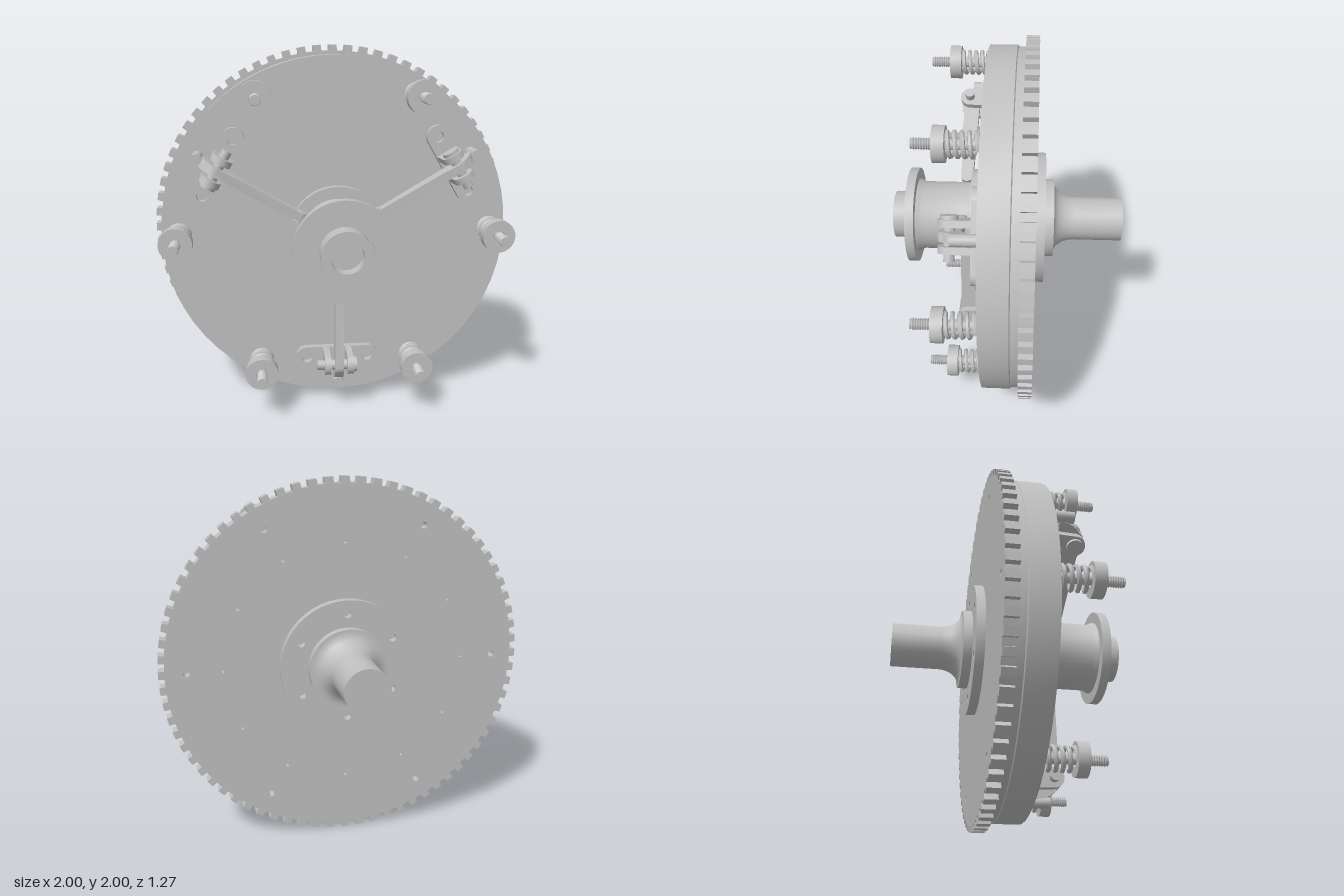
import * as THREE from 'three';
import { toCreasedNormals } from 'three/addons/utils/BufferGeometryUtils.js';

const steel = new THREE.MeshStandardMaterial({ color: 0xbfbfbf });
steel.name = 'steel grey';

function add(parent, name, geometry) {
  const mesh = new THREE.Mesh(toCreasedNormals(geometry, 0.6), steel);
  mesh.name = name;
  parent.add(mesh);
  return mesh;
}

// Turned part along z; profile is [radius, z] from back to front
function turned(profile, segments = 48) {
  const pts = profile.map(([r, z]) => new THREE.Vector2(r, z));
  return new THREE.LatheGeometry(pts, segments).rotateX(Math.PI / 2);
}

const disc = (r, z0, z1, segments = 24) =>
  turned([[0, z0], [r, z0], [r, z1], [0, z1]], segments);

const slab = (shape, z, depth, curveSegments = 8) =>
  new THREE.ExtrudeGeometry(shape, { depth, bevelEnabled: false, curveSegments }).translate(0, 0, z);

// Ring of round holes cut in a shape
function punch(shape, count, ringRadius, r, offset = 0) {
  for (let i = 0; i < count; i++) {
    const a = offset + (i / count) * Math.PI * 2;
    const hole = new THREE.Path();
    hole.absarc(Math.cos(a) * ringRadius, Math.sin(a) * ringRadius, r, 0, Math.PI * 2, true);
    shape.holes.push(hole);
  }
}

// Shape drawn as (radial, z), extruded sideways about x = centre
const sideBasis = new THREE.Matrix4().makeBasis(
  new THREE.Vector3(0, 1, 0), new THREE.Vector3(0, 0, 1), new THREE.Vector3(1, 0, 0));
const sidePlate = (shape, x, width) => slab(shape, -width / 2, width).applyMatrix4(sideBasis).translate(x, 0, 0);

function ringGear() {
  const teeth = 72, step = (Math.PI * 2) / teeth, pts = [];
  for (let i = 0; i < teeth; i++) {
    for (const [r, f] of [[0.968, -0.27], [1, -0.24], [1, 0.24], [0.968, 0.27]]) {
      const a = (i + f) * step;
      pts.push(new THREE.Vector2(Math.cos(a) * r, Math.sin(a) * r));
    }
  }
  const shape = new THREE.Shape(pts);
  punch(shape, 6, 0.855, 0.018);
  punch(shape, 12, 0.665, 0.008);
  return slab(shape, -0.155, 0.07);
}

class Helix extends THREE.Curve {
  getPoint(t, target = new THREE.Vector3()) {
    const a = t * Math.PI * 2 * 4.5;
    return target.set(Math.cos(a) * 0.057, Math.sin(a) * 0.057, 0.115 + t * 0.155);
  }
}

// Threaded stud, coil spring and retaining cap
function springStud() {
  const g = new THREE.Group();
  const thread = [[0, 0.1], [0.026, 0.1], [0.026, 0.33]];
  for (let z = 0.335; z < 0.425; z += 0.012) thread.push([0.029, z], [0.023, z + 0.006]);
  thread.push([0.026, 0.433], [0, 0.433]);
  add(g, 'stud', turned(thread, 14));
  add(g, 'spring', new THREE.TubeGeometry(new Helix(), 90, 0.012, 6));
  add(g, 'springCap', turned([[0.035, 0.27], [0.088, 0.27], [0.088, 0.33], [0.033, 0.33], [0.033, 0.31], [0.02, 0.31]], 28));
  return g;
}

// Release lever with its bracket; local y points outwards from the axle
function releaseLever() {
  const g = new THREE.Group(), R = 0.735;

  // Mounting plate with rounded ends and two bolt holes
  const plate = new THREE.Shape();
  plate.absarc(0.172, R, 0.062, -Math.PI / 2, Math.PI / 2);
  plate.absarc(-0.172, R, 0.062, Math.PI / 2, Math.PI * 1.5);
  for (const x of [-0.172, 0.172]) {
    const hole = new THREE.Path();
    hole.absarc(x, R, 0.03, 0, Math.PI * 2, true);
    plate.holes.push(hole);
  }
  add(g, 'bracketPlate', slab(plate, 0.1, 0.045, 12));

  // Twin lugs holding the pivot
  const lug = new THREE.Shape();
  lug.moveTo(R - 0.06, 0.14);
  lug.lineTo(R + 0.06, 0.14);
  lug.absarc(R, 0.25, 0.055, 0, Math.PI);
  for (const x of [-0.063, 0.063]) add(g, 'bracketLug', sidePlate(lug, x, 0.035));
  const pin = new THREE.CylinderGeometry(0.027, 0.027, 0.22, 16).rotateZ(Math.PI / 2).translate(0.012, R, 0.25);
  add(g, 'pivotPin', pin);
  const head = new THREE.CylinderGeometry(0.043, 0.043, 0.018, 18).rotateZ(Math.PI / 2).translate(-0.09, R, 0.25);
  add(g, 'pivotHead', head);

  // Tapered arm from the release sleeve to the pivot
  const arm = new THREE.Shape();
  arm.moveTo(0.235, 0.212);
  arm.lineTo(0.64, 0.198);
  arm.lineTo(R, 0.195);
  arm.absarc(R, 0.25, 0.055, -Math.PI / 2, Math.PI / 2);
  arm.lineTo(0.64, 0.287);
  arm.lineTo(0.235, 0.278);
  arm.absarc(0.235, 0.245, 0.033, Math.PI / 2, Math.PI * 1.5);
  add(g, 'leverArm', sidePlate(arm, 0, 0.046));
  const tip = new THREE.CylinderGeometry(0.033, 0.033, 0.06, 16).rotateZ(Math.PI / 2).translate(0, 0.235, 0.245);
  add(g, 'leverTip', tip);

  // Hooked tail reaching the pressure bolt
  const tail = new THREE.Shape();
  tail.moveTo(R, 0.29);
  tail.quadraticCurveTo(0.81, 0.285, 0.835, 0.2);
  tail.lineTo(0.835, 0.165);
  tail.lineTo(0.795, 0.165);
  tail.lineTo(R, 0.2);
  add(g, 'leverTail', sidePlate(tail, 0, 0.05));
  add(g, 'pressureBolt', disc(0.03, 0.1, 0.237, 18).translate(0, 0.853, 0));
  return g;
}

export function createModel() {
  const model = new THREE.Group();
  model.name = 'clutchAssembly';
  const body = new THREE.Group();
  body.name = 'clutch';
  body.position.y = 1;
  model.add(body);

  // Flywheel drum and toothed ring
  add(body, 'drum', turned([[0, -0.086], [0.942, -0.086], [0.942, -0.045], [0.95, -0.04], [0.95, 0.108], [0, 0.108]], 56));
  add(body, 'ringGear', ringGear());

  // Rear bolted flange
  const flange = new THREE.Shape();
  flange.absarc(0, 0, 0.365, 0, Math.PI * 2);
  punch(flange, 6, 0.29, 0.022, Math.PI / 6);
  add(body, 'rearFlange', slab(flange, -0.205, 0.05, 24));

  // Shaft flaring into its collar
  const shaft = [[0, -0.635], [0.12, -0.635], [0.12, -0.37]];
  for (let i = 1; i <= 6; i++) {
    const a = (i / 6) * Math.PI / 2;
    shaft.push([0.12 + 0.085 * (1 - Math.cos(a)), -0.37 + 0.115 * Math.sin(a)]);
  }
  shaft.push([0.218, -0.255], [0.218, -0.2], [0, -0.2]);
  add(body, 'shaft', turned(shaft, 36));

  // Grooved release sleeve with bored nose
  add(body, 'releaseSleeve', turned([
    [0, 0.1], [0.215, 0.1], [0.215, 0.125], [0.165, 0.145], [0.165, 0.157], [0.265, 0.157], [0.265, 0.2], [0.2, 0.2],
    [0.19, 0.22], [0.19, 0.465], [0.2, 0.485], [0.205, 0.5], [0.265, 0.5], [0.265, 0.548], [0.145, 0.548],
    [0.145, 0.535], [0.13, 0.535], [0.13, 0.633], [0.085, 0.633], [0.085, 0.56], [0, 0.56]], 40));

  for (let i = 0; i < 6; i++) {
    const a = (i * Math.PI) / 3, stud = springStud();
    stud.name = 'springStud';
    stud.position.set(Math.cos(a) * 0.855, Math.sin(a) * 0.855, 0);
    body.add(stud);
  }
  for (let i = 0; i < 3; i++) {
    const lever = releaseLever();
    lever.name = 'releaseLever';
    lever.rotation.z = Math.PI + (i * Math.PI * 2) / 3;
    body.add(lever);
  }
  return model;
}
